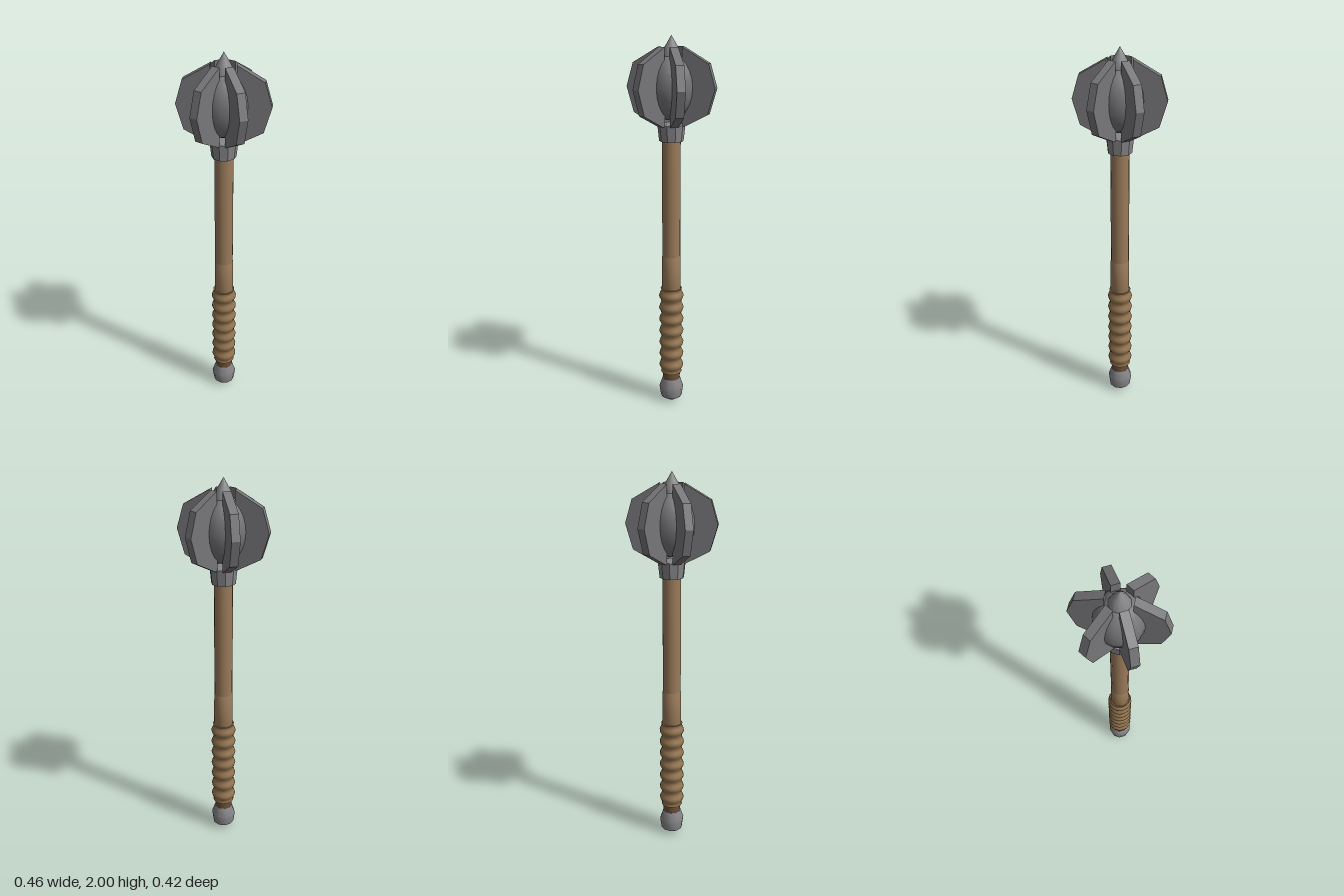
import * as THREE from 'three';
import { toCreasedNormals } from 'three/addons/utils/BufferGeometryUtils.js';

const mat = (name, color) => {
  const m = new THREE.MeshStandardMaterial({ color });
  m.name = name;
  return m;
};

export function createModel() {
  const steel = mat('steel', 0x87878a);
  const darkSteel = mat('dark steel', 0x77777a);
  const wood = mat('wood', 0x9a7b5a);
  const leather = mat('leather', 0x92734f);
  const darkLeather = mat('dark leather', 0x6e5039);

  const group = new THREE.Group();
  const add = (name, geometry, material) => {
    const mesh = new THREE.Mesh(geometry, material);
    mesh.name = name;
    group.add(mesh);
    return mesh;
  };
  // Turned part from [radius, height] pairs, bottom to top
  const turned = (points, sides, crease) => toCreasedNormals(
    new THREE.LatheGeometry(points.map(([r, y]) => new THREE.Vector2(r, y)), sides), crease);

  // Pommel
  add('pommel', turned(
    [[0, 0], [0.035, 0.012], [0.059, 0.028], [0.067, 0.085], [0.049, 0.138], [0, 0.138]], 10, 0.75), steel);

  // Shaft, with a thin dark binding under the grip and a sleeve above it
  add('shaft', turned([[0, 0.16], [0.048, 0.16], [0.048, 1.49], [0, 1.49]], 16, 0.8), wood);
  add('gripBinding', turned([[0, 0.13], [0.047, 0.13], [0.049, 0.19], [0, 0.19]], 16, 0.8), darkLeather);
  add('shaftSleeve', turned([[0.048, 0.66], [0.051, 0.67], [0.0495, 0.86], [0.048, 0.865]], 16, 0.8), wood);

  // Ribbed grip
  const ribs = 7, steps = 6, low = 0.18, high = 0.68;
  const grip = [[0.046, low], [0.058, low]];
  for (let i = 0; i <= ribs * steps; i++) {
    const t = i / (ribs * steps);
    const r = 0.0605 - 0.0065 * Math.cos(t * ribs * Math.PI * 2);
    grip.push([r, low + 0.008 + t * (high - low - 0.016)]);
  }
  grip.push([0.058, high], [0.046, high]);
  add('grip', turned(grip, 16, 1), leather);

  // Faceted collar under the head
  add('collar', turned(
    [[0, 1.482], [0.062, 1.482], [0.071, 1.565], [0.05, 1.57], [0, 1.57]], 10, 0.3), steel);

  // Egg-shaped core
  const core = new THREE.SphereGeometry(1, 12, 12);
  core.scale(0.122, 0.165, 0.122);
  core.translate(0, 1.75, 0);
  add('core', core, darkSteel);

  // Spike on top
  add('spike', turned([[0.052, 1.87], [0.05, 1.9], [0.034, 1.942], [0, 2]], 10, 0.6), steel);

  // Six flanges around the core
  const outline = [[0.062, 1.56], [0.075, 1.56], [0.193, 1.622], [0.23, 1.75],
    [0.195, 1.868], [0.062, 1.945]].map(([x, y]) => new THREE.Vector2(x, y));
  const thickness = 0.042;
  const flange = new THREE.ExtrudeGeometry(new THREE.Shape(outline),
    { depth: thickness, bevelEnabled: false });
  flange.translate(0, 0, -thickness / 2);
  for (let i = 0; i < 6; i++) {
    add(`flange${i + 1}`, flange, darkSteel).rotation.y = i * Math.PI / 3;
  }
  return group;
}
